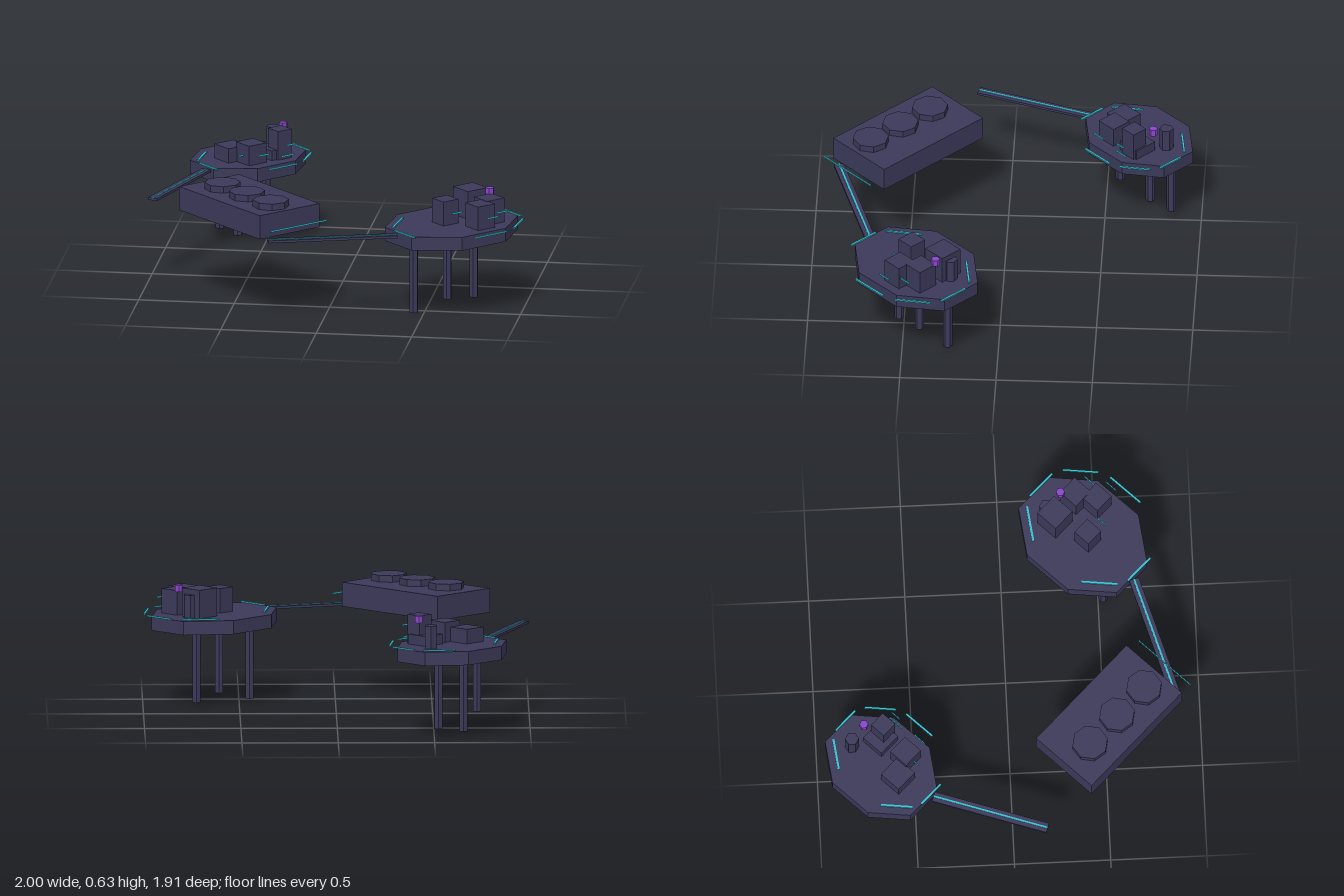
import * as THREE from 'three';

export function createModel() {
  const root = new THREE.Group();
  const slate = new THREE.MeshStandardMaterial({ color: 0x3b3959, flatShading: true });
  slate.name = 'slate';
  const cyan = new THREE.MeshStandardMaterial({ color: 0x35c2d2 });
  cyan.name = 'cyan';
  const purple = new THREE.MeshStandardMaterial({ color: 0x8a45cc, flatShading: true });
  purple.name = 'purple';

  const TOP = 0.468, BASE = 0.396;

  const add = (parent, name, geo, mat, x, y, z, rotY = 0) => {
    const m = new THREE.Mesh(geo, mat);
    m.name = name;
    m.position.set(x, y, z);
    m.rotation.y = rotY;
    parent.add(m);
    return m;
  };

  // Box stretched between two ground points [x, z], centred at height y
  const bar = (parent, name, mat, a, b, y, height, width) => {
    const dx = b[0] - a[0], dz = b[1] - a[1];
    add(parent, name, new THREE.BoxGeometry(Math.hypot(dx, dz), height, width), mat,
      (a[0] + b[0]) / 2, y, (a[1] + b[1]) / 2, Math.atan2(-dz, dx));
  };

  // Skewed octagon outline, point symmetric, as [x, z]
  const half = [[-0.097, -0.294], [0.163, -0.326], [0.326, -0.161], [0.296, 0.091]];
  const octagon = [...half, ...half.map(([x, z]) => [-x, -z])];

  function platform(name, cx, cz, scale, legs, blocks, column, lamp) {
    const g = new THREE.Group();
    g.name = name;
    root.add(g);
    const pts = octagon.map(([x, z]) => [cx + x * scale, cz + z * scale]);

    // Deck
    const shape = new THREE.Shape(pts.map(([x, z]) => new THREE.Vector2(x, -z)));
    const deck = new THREE.ExtrudeGeometry(shape, { depth: TOP - BASE, bevelEnabled: false });
    deck.rotateX(-Math.PI / 2);
    add(g, 'deck', deck, slate, 0, BASE, 0);

    // Light strips beside six of the deck edges, shifted diagonally
    for (const i of [0, 1, 2, 3, 5, 6]) {
      const [p, q] = [pts[i], pts[(i + 1) % 8]];
      const at = (t) => [p[0] + (q[0] - p[0]) * t + 0.04, p[1] + (q[1] - p[1]) * t + 0.04];
      bar(g, 'edgeLight', cyan, at(0.13), at(0.87), TOP + 0.003, 0.008, 0.011);
    }

    // Hexagonal legs of different depths
    for (const [x, z, foot] of legs) {
      const h = BASE + 0.01 - foot;
      add(g, 'leg', new THREE.CylinderGeometry(0.024, 0.024, h, 6), slate, x, foot + h / 2, z);
    }

    // Buildings turned 45 degrees, each with a light strip off its front face
    for (const [x, z, side, top] of blocks) {
      const h = top - TOP;
      add(g, 'building', new THREE.BoxGeometry(side, h, side), slate, x, TOP + h / 2, z, Math.PI / 4);
      const o = side * 0.354 + 0.037, l = side * 0.23;
      bar(g, 'buildingLight', cyan, [x + o - l, z + o + l], [x + o + l, z + o - l],
        TOP + h * 0.58, 0.009, 0.005);
    }

    // Column and lamp
    const ch = column[2] - TOP;
    add(g, 'column', new THREE.CylinderGeometry(0.036, 0.036, ch, 6), slate, column[0], TOP + ch / 2, column[1]);
    add(g, 'lamp', new THREE.CylinderGeometry(0.023, 0.023, 0.036, 6), purple, lamp[0], 0.61, lamp[1]);
  }

  platform('backPlatform', -0.592, -0.674, 0.872,
    [[-0.725, -0.57, 0.1], [-0.653, -0.729, 0.02], [-0.52, -0.843, 0.05]],
    [[-0.67, -0.59, 0.124, 0.545], [-0.558, -0.545, 0.112, 0.573],
      [-0.455, -0.67, 0.128, 0.52], [-0.424, -0.655, 0.088, 0.622]],
    [-0.483, -0.82, 0.588], [-0.42, -0.755]);

  platform('frontPlatform', 0.629, 0.43, 1,
    [[0.445, 0.527, 0], [0.604, 0.414, 0.047], [0.722, 0.263, 0.02]],
    [[0.6, 0.455, 0.098, 0.597], [0.707, 0.289, 0.128, 0.617],
      [0.79, 0.51, 0.109, 0.595], [0.822, 0.4, 0.113, 0.597]],
    [0.755, 0.246, 0.588], [0.814, 0.322]);

  // Landing slab with three round pads and a light strip
  const slab = new THREE.Group();
  slab.name = 'landingSlab';
  root.add(slab);
  add(slab, 'slab', new THREE.BoxGeometry(0.695, 0.127, 0.388), slate, -0.418, 0.53, 0.518, -Math.PI / 4);
  for (const [x, z] of [[-0.574, 0.412], [-0.425, 0.559], [-0.279, 0.706]]) {
    add(slab, 'pad', new THREE.CylinderGeometry(0.094, 0.094, 0.036, 8), slate, x, 0.61, z, 0.2);
  }
  bar(slab, 'slabLight', cyan, [-0.245, 0.95], [0.013, 0.692], 0.524, 0.009, 0.005);

  // Bridges with a lit centre line
  for (const [a, b] of [[[-0.773, -0.41], [-0.974, 0.174]], [[-0.272, 0.872], [0.378, 0.684]]]) {
    bar(root, 'bridge', slate, a, b, 0.452, 0.013, 0.053);
    bar(root, 'bridgeLight', cyan, a, b, 0.459, 0.005, 0.01);
  }

  return root;
}
